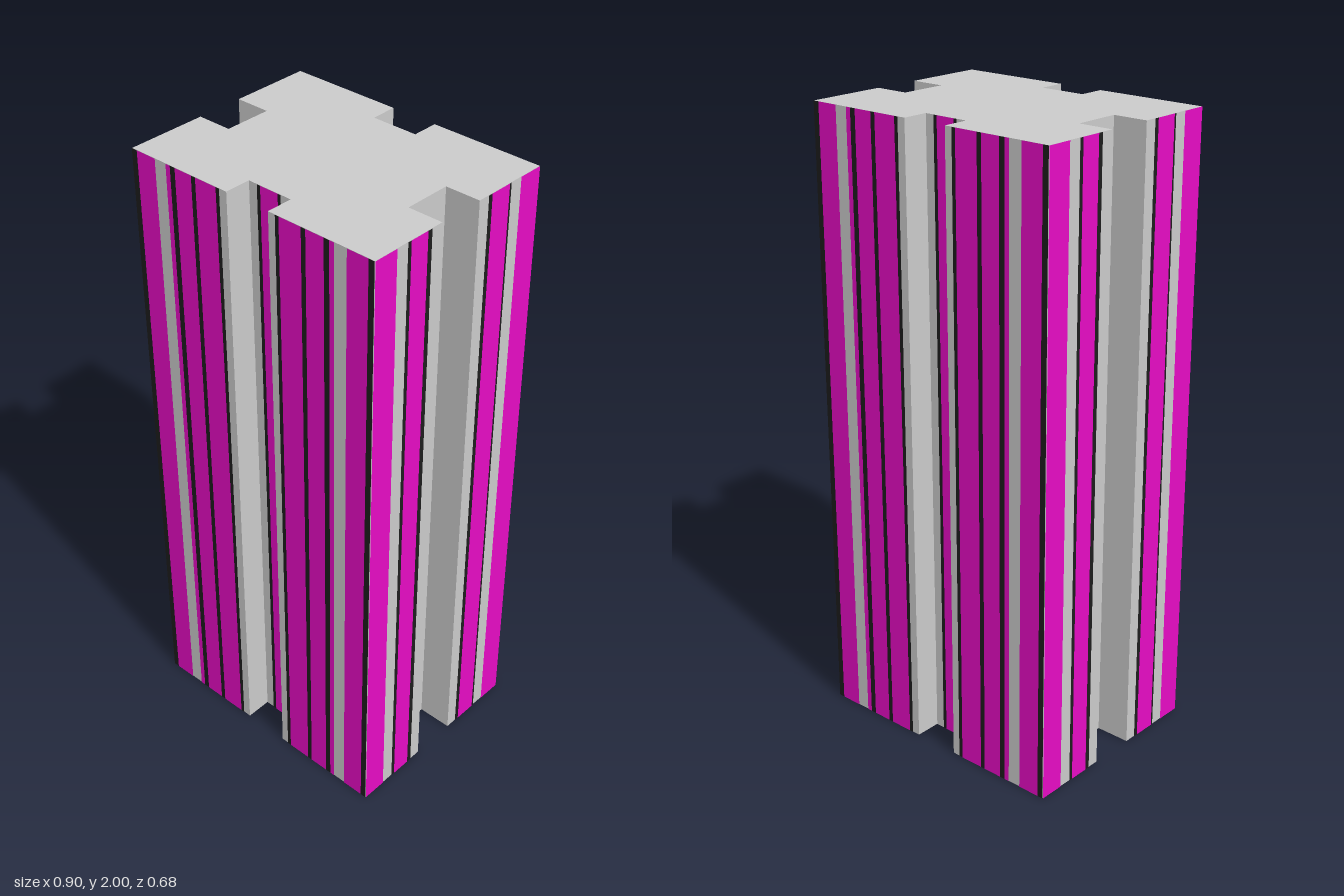
import * as THREE from 'three';

const H = 2, W = 0.447, D = 0.338;      // height, half width, half depth
const NOTCH = 0.077, NX = 0.333, NZ = 0.253; // notch half width, notch floors
const LIFT = 0.0015;                    // strips stand slightly proud of the wall

const grey = new THREE.MeshStandardMaterial({ color: 0xcccccc });
const magenta = new THREE.MeshStandardMaterial({ color: 0xe60cc4 });
const black = new THREE.MeshStandardMaterial({ color: 0x1c1c1c });

// Cross-shaped plan, one quarter mirrored into four
function planShape() {
  const q = [[NX, 0], [NX, NOTCH], [W, NOTCH], [W, D], [NOTCH, D], [NOTCH, NZ], [0, NZ]];
  const r = [...q].reverse();
  const pts = [
    ...q,
    ...r.map(([x, y]) => [-x, y]),
    ...q.map(([x, y]) => [-x, -y]),
    ...r.map(([x, y]) => [x, -y]),
  ].filter(([x, y]) => x !== 0 && y !== 0);
  return new THREE.Shape(pts.map(([x, y]) => new THREE.Vector2(x, y)));
}

// Full-height strips [from, to, material] on a wall facing +z at the given distance
function stripes(name, list, distance) {
  const g = new THREE.Group();
  g.name = name;
  for (const [a, b, mat] of list) {
    const strip = new THREE.Mesh(new THREE.PlaneGeometry(b - a, H), mat);
    strip.position.set((a + b) / 2, H / 2, distance + LIFT);
    strip.name = mat === black ? 'darkMullion' : 'colourPanel';
    g.add(strip);
  }
  return g;
}

export function createModel() {
  const model = new THREE.Group();
  model.name = 'towerBlock';

  // Tower body
  const shape = planShape();
  const body = new THREE.Mesh(
    new THREE.ExtrudeGeometry(shape, { depth: H, bevelEnabled: false }).rotateX(-Math.PI / 2), grey);
  body.name = 'towerBody';
  model.add(body);

  // Dark underside
  const base = new THREE.Mesh(new THREE.ShapeGeometry(shape).rotateX(Math.PI / 2), black);
  base.position.y = -0.001;
  base.name = 'underside';
  model.add(base);

  // Strips of one half of the broad wall, mirrored for the other half
  const broadHalf = [
    [0.103, 0.116, black], [0.116, 0.195, magenta], [0.195, 0.211, black],
    [0.211, 0.275, magenta], [0.275, 0.294, black], [0.294, 0.311, magenta],
    [0.354, 0.427, magenta], [0.427, W, black],
  ];
  const broad = [...broadHalf, ...broadHalf.map(([a, b, m]) => [-b, -a, m])];
  // Strips in the floor of the broad wall's notch
  const recess = [[-0.046, -0.034, black], [-0.034, 0.031, magenta], [0.031, 0.042, black]];
  // Strips of the narrow wall
  const narrow = [
    [-D, -0.255, magenta], [-0.213, -0.2, black], [-0.2, -0.134, magenta], [-0.134, -0.118, black],
    [0.115, 0.13, black], [0.13, 0.205, magenta], [0.205, 0.212, black], [0.255, D, magenta],
  ];

  // Opposite walls repeat by a half turn
  [['front', 'left'], ['back', 'right']].forEach(([broadName, narrowName], i) => {
    const turn = i * Math.PI;
    const wall = stripes(broadName + 'Wall', broad, D);
    const floor = stripes(broadName + 'Recess', recess, NZ);
    const side = stripes(narrowName + 'Wall', narrow, W);
    wall.rotation.y = floor.rotation.y = turn;
    side.rotation.y = turn + Math.PI / 2;
    model.add(wall, floor, side);
  });

  return model;
}
